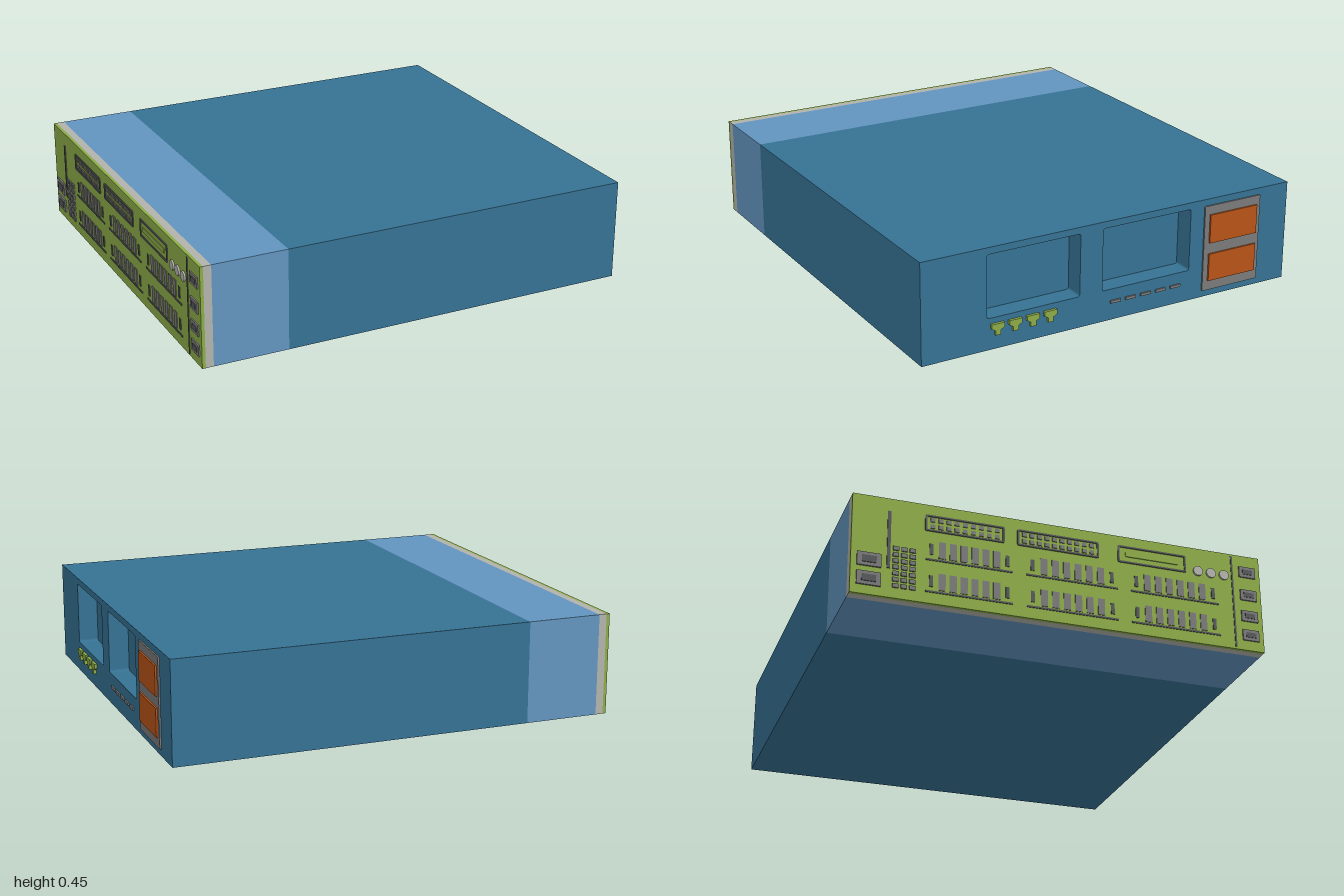
import * as THREE from 'three';

const mat = (color) => new THREE.MeshStandardMaterial({ color });
const BLUE = mat(0x367294), LIGHT = mat(0x6295bf), CREAM = mat(0xb3b3ad), GREEN = mat(0x8cab48);
const GREY = mat(0x7a7a7a), ORANGE = mat(0xb85418), DARK = mat(0x55585a);
const RIGHT = 0.985, LEFT = -0.99, H = 0.45, HALF = 0.9;

export function createModel() {
  const model = new THREE.Group();
  const add = (parent, name, geometry, material) => {
    const mesh = new THREE.Mesh(geometry, material);
    mesh.name = name;
    parent.add(mesh);
    return mesh;
  };
  const group = (name) => {
    const g = new THREE.Group();
    g.name = name;
    model.add(g);
    return g;
  };
  // box given by its limits on each axis
  const block = (parent, name, x0, x1, y0, y1, z0, z1, material) => {
    const m = add(parent, name, new THREE.BoxGeometry(x1 - x0, y1 - y0, z1 - z0), material);
    m.position.set((x0 + x1) / 2, (y0 + y1) / 2, (z0 + z1) / 2);
    return m;
  };
  const trace = (path, a0, a1, b0, b1, r) => path
    .moveTo(a0 + r, b0).lineTo(a1 - r, b0).quadraticCurveTo(a1, b0, a1, b0 + r)
    .lineTo(a1, b1 - r).quadraticCurveTo(a1, b1, a1 - r, b1)
    .lineTo(a0 + r, b1).quadraticCurveTo(a0, b1, a0, b1 - r)
    .lineTo(a0, b0 + r).quadraticCurveTo(a0, b0, a0 + r, b0);
  // outline drawn in (-z, y), extruded towards +x
  const extrudeX = (parent, name, shape, x, depth, material) => {
    const g = new THREE.ExtrudeGeometry(shape, { depth, bevelEnabled: false, curveSegments: 3 });
    const m = add(parent, name, g.rotateY(Math.PI / 2), material);
    m.position.x = x;
    return m;
  };

  // casing: a solid core, banded end, and a pierced right wall with two bays
  const casing = group('casing');
  const POCKET = 0.09;
  block(casing, 'mainBody', -0.605, RIGHT - POCKET, 0, H, -HALF, HALF, BLUE);
  block(casing, 'lightBand', -0.94, -0.605, 0, H, -HALF, HALF, LIGHT);
  block(casing, 'creamBand', -0.975, -0.94, 0, H, -HALF, HALF, CREAM);
  block(casing, 'connectorPanel', LEFT, -0.975, 0, H, -HALF, HALF, GREEN);
  const wall = new THREE.Shape([[-HALF, 0], [HALF, 0], [HALF, H], [-HALF, H]].map((p) => new THREE.Vector2(...p)));
  for (const [z0, z1] of [[0.16, 0.6], [-0.39, 0.05]]) {
    wall.holes.push(trace(new THREE.Path(), -z1, -z0, 0.14, 0.42, 0.01));
  }
  extrudeX(casing, 'rightWall', wall, RIGHT - POCKET, POCKET, BLUE);

  // drive bay with two orange doors in a grey frame
  const bay = group('driveBay');
  const frame = trace(new THREE.Shape(), 0.46, 0.75, 0.03, 0.42, 0.004);
  extrudeX(bay, 'bayFrame', frame, RIGHT, 0.007, GREY);
  for (const [y0, y1] of [[0.075, 0.2], [0.25, 0.38]]) {
    block(bay, 'bayDoor', RIGHT, 1, y0, y1, -0.73, -0.485, ORANGE);
  }

  // T-shaped clips and small indicator bars under the bays
  const controls = group('sideControls');
  const clip = new THREE.Shape([[-0.03, 0.115], [-0.03, 0.095], [-0.012, 0.085], [-0.012, 0.065],
    [0.012, 0.065], [0.012, 0.085], [0.03, 0.095], [0.03, 0.115]].map((p) => new THREE.Vector2(...p)));
  for (let i = 0; i < 4; i++) extrudeX(controls, 'clip', clip, RIGHT, 0.013, GREEN).position.z = 0.555 - i * 0.083;
  for (let i = 0; i < 5; i++) {
    const z = -0.015 - i * 0.076;
    block(controls, 'indicatorBar', RIGHT, 0.992, 0.077, 0.089, z - 0.025, z + 0.025, GREY);
  }

  // connector panel details on the left end
  const ports = group('panelPorts');
  const port = (name, z, y, w, h, depth = 0.004, material = GREY) =>
    block(ports, name, LEFT - depth, LEFT, y - h / 2, y + h / 2, z - w / 2, z + w / 2, material);
  const rim = (z, y, w, h, material = DARK) => {
    const s = trace(new THREE.Shape(), -z - w / 2, -z + w / 2, y - h / 2, y + h / 2, 0.008);
    s.holes.push(trace(new THREE.Path(), -z - w / 2 + 0.008, -z + w / 2 - 0.008, y - h / 2 + 0.008, y + h / 2 - 0.008, 0.004));
    extrudeX(ports, 'portRim', s, LEFT - 0.004, 0.004, material);
  };
  const disc = (name, z, y, r, depth, material = GREY) => {
    const m = add(ports, name, new THREE.CylinderGeometry(r, r, depth, 16).rotateZ(Math.PI / 2), material);
    m.position.set(LEFT - depth / 2, y, z);
  };

  // six card bays, each a row of upright slots
  for (const [z0, z1] of [[-0.59, -0.22], [-0.16, 0.24], [0.3, 0.7]]) {
    for (const y of [0.245, 0.1]) {
      const n = 8, step = (z1 - z0) / n;
      for (let i = 0; i < n; i++) {
        const z = z0 + (i + 0.5) * step, end = i === 0 || i === n - 1;
        port('cardSlot', z, y, end ? 0.016 : 0.03, end ? 0.05 : 0.075, 0.003, end ? DARK : GREY);
      }
      port('cardRail', (z0 + z1) / 2, y - 0.047, z1 - z0, 0.008, 0.003, DARK);
    }
  }

  // upper row: two pin connectors, an empty slot and three round jacks
  for (const [z, w, n] of [[-0.425, 0.34, 9], [-0.02, 0.36, 10]]) {
    rim(z, 0.365, w, 0.075);
    for (let i = 0; i < n; i++) {
      for (const y of [0.35, 0.38]) port('pin', z + ((i + 0.5) / n - 0.5) * (w - 0.03), y, 0.02, 0.018, 0.004);
    }
  }
  rim(0.4, 0.365, 0.31, 0.08);
  port('slotTongue', 0.4, 0.365, 0.24, 0.02, 0.004, GREEN);
  for (let i = 0; i < 3; i++) disc('roundJack', 0.61 + i * 0.06, 0.34, 0.022, 0.008, CREAM);

  // far column of sockets beside a dividing line
  port('divider', 0.77, 0.225, 0.008, 0.43, 0.003, DARK);
  for (const y of [0.07, 0.16, 0.26, 0.37]) {
    port('socket', 0.84, y, 0.075, 0.05, 0.006);
    port('socketMouth', 0.84, y, 0.045, 0.022, 0.008, DARK);
  }

  // near column: power sockets, vents and a slim strip
  for (const y of [0.07, 0.155]) {
    port('powerSocket', -0.825, y, 0.1, 0.06, 0.007);
    port('powerMouth', -0.825, y, 0.06, 0.03, 0.01, DARK);
  }
  port('slimStrip', -0.745, 0.26, 0.014, 0.26, 0.004, DARK);
  for (let row = 0; row < 7; row++) {
    for (let col = 0; col < 3; col++) port('ventPin', -0.715 + col * 0.035, 0.055 + row * 0.028, 0.025, 0.018, 0.006);
  }
  return model;
}
